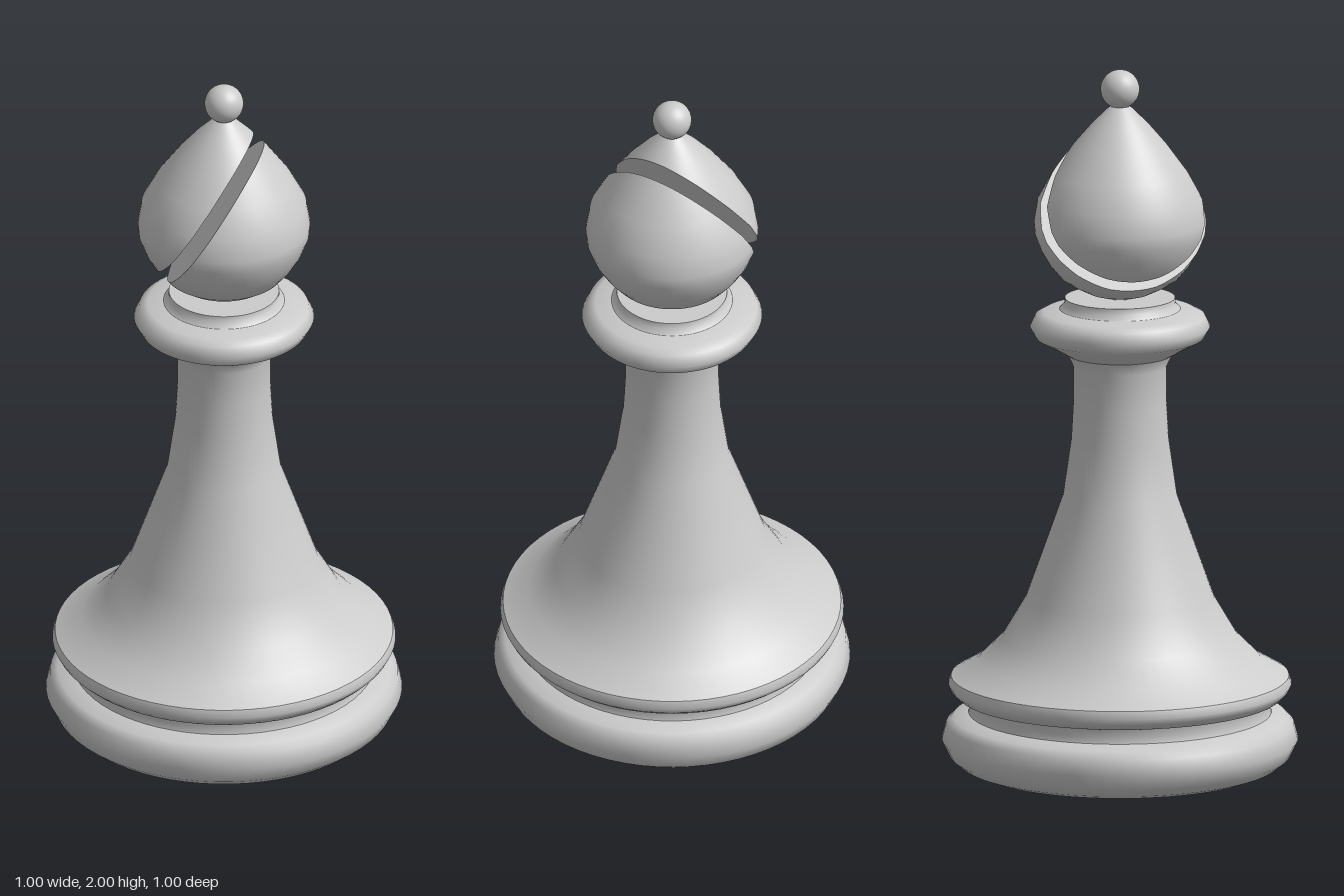
import * as THREE from 'three';

const SEGMENTS = 64;
const material = new THREE.MeshStandardMaterial({ color: 0xcccccc });

const lathe = (profile) =>
  new THREE.LatheGeometry(profile.map(([r, y]) => new THREE.Vector2(r, y)), SEGMENTS);

// Keeps the part of a convex solid behind a plane and closes the cut with a flat cap.
function cutSolid(geometry, normal, offset) {
  const source = geometry.toNonIndexed();
  const P = source.attributes.position, N = source.attributes.normal;
  const positions = [], normals = [], rim = [];
  const put = (p, n) => { positions.push(p.x, p.y, p.z); normals.push(n.x, n.y, n.z); };

  for (let i = 0; i < P.count; i += 3) {
    const corners = [0, 1, 2].map((k) => {
      const p = new THREE.Vector3().fromBufferAttribute(P, i + k);
      const n = new THREE.Vector3().fromBufferAttribute(N, i + k);
      return { p, n, d: normal.dot(p) - offset };
    });
    const kept = [];
    corners.forEach((a, k) => {
      const b = corners[(k + 1) % 3];
      if (a.d <= 0) kept.push(a);
      if ((a.d <= 0) !== (b.d <= 0)) {
        const t = a.d / (a.d - b.d);
        const crossing = { p: a.p.clone().lerp(b.p, t), n: a.n.clone().lerp(b.n, t).normalize() };
        kept.push(crossing);
        rim.push(crossing.p);
      }
    });
    for (let k = 1; k + 1 < kept.length; k++) {
      [kept[0], kept[k], kept[k + 1]].forEach((c) => put(c.p, c.n));
    }
  }

  // Cap: a fan around the middle of the cut, with rim points in angular order
  const centre = rim.reduce((sum, p) => sum.add(p), new THREE.Vector3()).divideScalar(rim.length);
  const v = new THREE.Vector3(0, 0, 1);
  const u = new THREE.Vector3().crossVectors(v, normal);
  const angle = (p) => {
    const q = p.clone().sub(centre);
    return Math.atan2(q.dot(v), q.dot(u));
  };
  rim.sort((a, b) => angle(a) - angle(b));
  rim.forEach((p, k) => [centre, p, rim[(k + 1) % rim.length]].forEach((c) => put(c, normal)));

  const result = new THREE.BufferGeometry();
  result.setAttribute('position', new THREE.Float32BufferAttribute(positions, 3));
  result.setAttribute('normal', new THREE.Float32BufferAttribute(normals, 3));
  return result;
}

export function createModel() {
  const group = new THREE.Group();
  const add = (name, geometry) => {
    const mesh = new THREE.Mesh(geometry, material);
    mesh.name = name;
    group.add(mesh);
    return mesh;
  };

  // Turned body, split where the surface has a sharp edge: [radius, height]
  const body = {
    underside: [[0, 0], [0.42, 0]].reverse(),
    baseRing: [[0.42, 0], [0.45, 0.012], [0.478, 0.035], [0.5, 0.08], [0.488, 0.125],
      [0.468, 0.145], [0.425, 0.157]],
    groove: [[0.425, 0.157], [0.42, 0.175], [0.425, 0.198]],
    shoulderRing: [[0.425, 0.198], [0.455, 0.205], [0.473, 0.222], [0.482, 0.24], [0.474, 0.262]],
    stem: [[0.474, 0.262], [0.4, 0.305], [0.33, 0.375], [0.265, 0.485], [0.16, 0.78],
      [0.137, 0.94], [0.131, 1.05], [0.131, 1.15], [0.148, 1.185]],
    collar: [[0.148, 1.185], [0.195, 1.212], [0.237, 1.235], [0.253, 1.265], [0.238, 1.295],
      [0.215, 1.307], [0.17, 1.315]],
    collarStep: [[0.17, 1.315], [0.156, 1.33], [0.155, 1.347]],
    collarTop: [[0.155, 1.347], [0, 1.347]],
  };
  for (const [name, profile] of Object.entries(body)) {
    // The underside runs inwards to outwards so that it faces down
    add(name, lathe(name === 'underside' ? [...profile].reverse() : profile));
  }

  // Teardrop head, divided by a slanting slot
  const head = lathe([[0, 1.343], [0.04, 1.347], [0.085, 1.36], [0.13, 1.382], [0.165, 1.405],
    [0.197, 1.443], [0.222, 1.485], [0.239, 1.53], [0.242, 1.565], [0.231, 1.63], [0.19, 1.705],
    [0.13, 1.787], [0.08, 1.845], [0.035, 1.89], [0, 1.915]]);
  const slotNormal = new THREE.Vector3(0.838, -0.545, 0).normalize();
  add('headUpperPart', cutSolid(head, slotNormal, -0.936));
  add('headLowerPart', cutSolid(head, slotNormal.clone().negate(), 0.893));

  // Ball on the tip
  add('finial', new THREE.SphereGeometry(0.055, 32, 20)).position.y = 1.945;

  return group;
}
